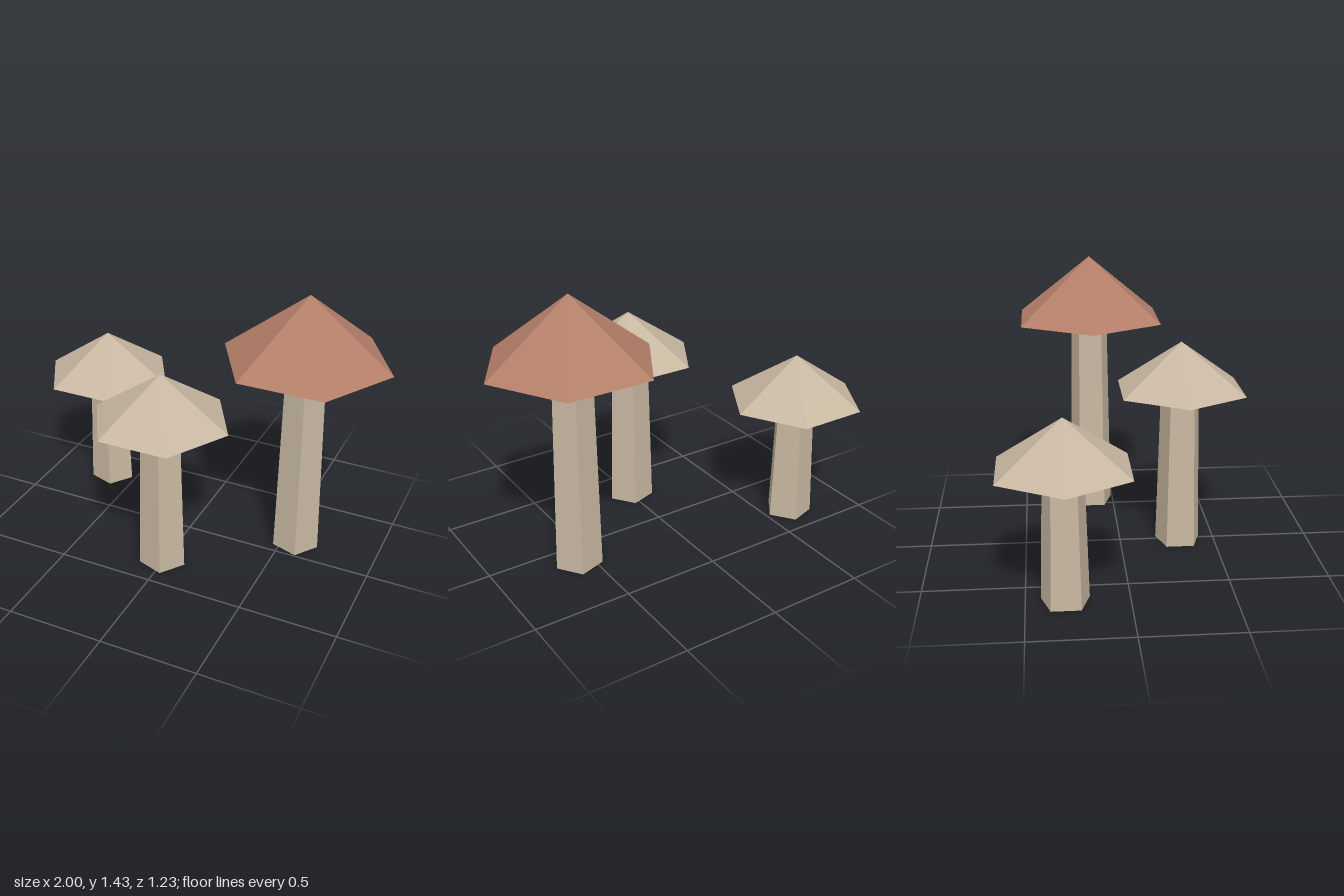
import * as THREE from 'three';

const beige = new THREE.MeshStandardMaterial({ color: 0xc8b8a2, flatShading: true });
beige.name = 'beige';
const terracotta = new THREE.MeshStandardMaterial({ color: 0xb47f69, flatShading: true });
terracotta.name = 'terracotta';

function addMesh(parent, name, geometry, material) {
  const mesh = new THREE.Mesh(geometry, material);
  mesh.name = name;
  parent.add(mesh);
}

// One mushroom: five-sided tapering stem, six-sided pointed cap with a shallow sloping underside
function mushroom(name, { x, z, rim, apex, radius, drop, capMaterial }) {
  const group = new THREE.Group();
  group.name = name;
  group.position.set(x, 0, z);

  // Stem, one corner towards +x, ending just inside the cap
  const stem = new THREE.CylinderGeometry(0.102, 0.123, rim, 5, 1, false, Math.PI / 2);
  stem.translate(0, rim / 2, 0);
  addMesh(group, 'stem', stem, beige);

  // Cap top
  const top = new THREE.ConeGeometry(radius, apex - rim, 6, 1, true, Math.PI / 2);
  top.translate(0, (apex + rim) / 2, 0);
  addMesh(group, 'capTop', top, capMaterial);

  // Cap underside, narrowing down to the stem
  const under = new THREE.CylinderGeometry(radius, 0.1, drop, 6, 1, true, Math.PI / 2);
  under.translate(0, rim - drop / 2, 0);
  addMesh(group, 'capUnderside', under, capMaterial);
  return group;
}

export function createModel() {
  const model = new THREE.Group();
  model.name = 'mushrooms';
  model.add(
    mushroom('smallMushroom', { x: -0.645, z: -0.31, rim: 0.67, apex: 0.915, radius: 0.355, drop: 0.025, capMaterial: beige }),
    mushroom('middleMushroom', { x: -0.01, z: 0.31, rim: 0.84, apex: 1.088, radius: 0.355, drop: 0.025, capMaterial: beige }),
    mushroom('tallMushroom', { x: 0.567, z: -0.125, rim: 1.09, apex: 1.428, radius: 0.432, drop: 0.03, capMaterial: terracotta })
  );
  return model;
}
